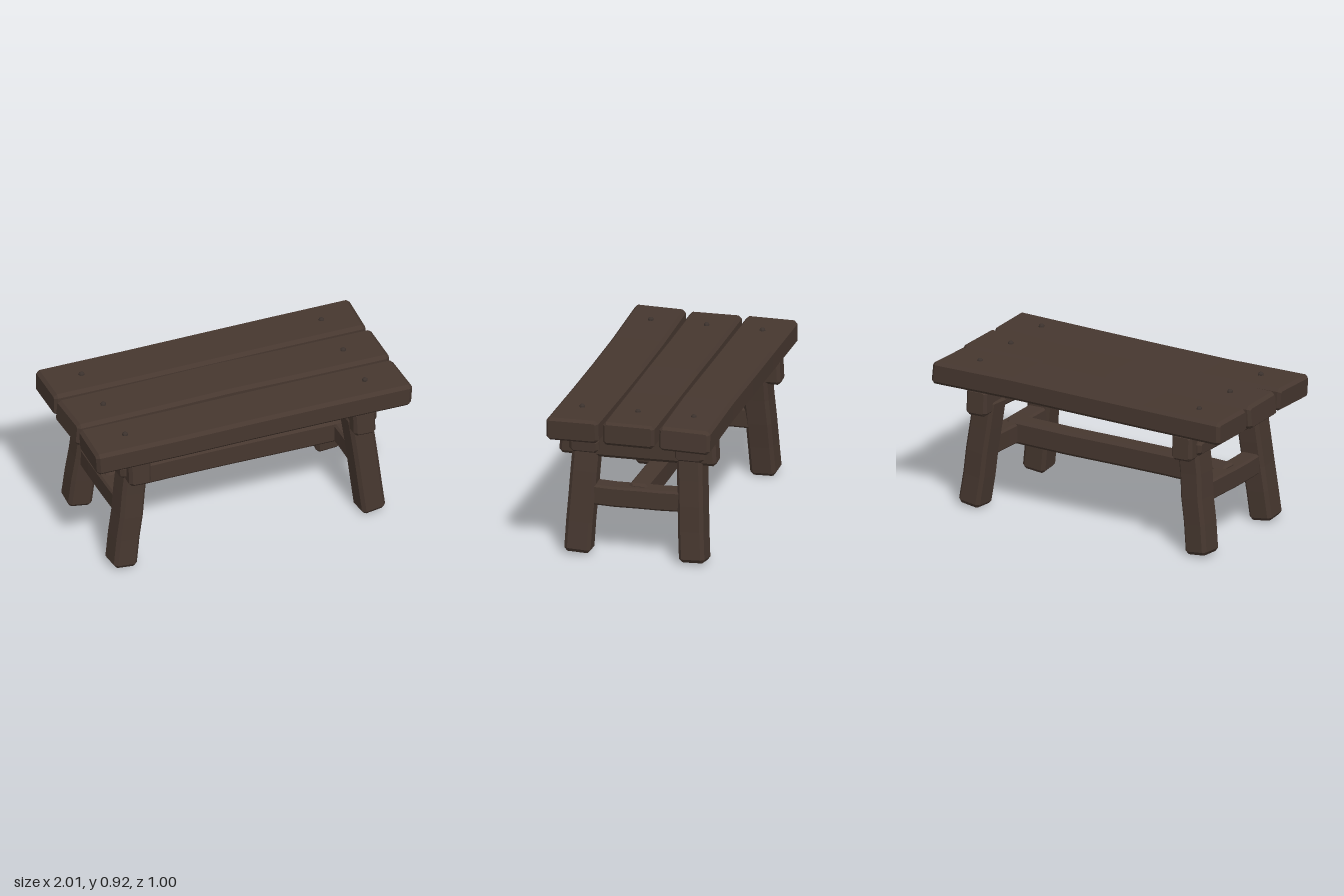
import * as THREE from 'three';

const wood = new THREE.MeshStandardMaterial({ color: 0x46372f, flatShading: true });
wood.name = 'dark wood';
const iron = new THREE.MeshStandardMaterial({ color: 0x3c322d, flatShading: true });
iron.name = 'dark iron';

// small seeded jitter for the hand-hewn look
function seeded(seed) {
  let s = seed * 7919 + 17;
  return () => ((s = (s * 16807) % 2147483647) / 2147483647) * 2 - 1;
}

// octagonal cross-section (y, z) with cut corners
function section(h, w, c) {
  return [[h, c - w], [h, w - c], [h - c, w], [c - h, w], [-h, w - c], [-h, c - w], [c - h, -w], [h - c, -w]];
}

// chamfered timber lofted along local x, bowed in y and z, end faces skewed a little
function timberGeometry(length, height, width, c, bow, skew, seed) {
  const rnd = seeded(seed), L = length / 2, h = height / 2, w = width / 2;
  const stations = [-L, -L + c, -L * 0.45, 0, L * 0.45, L - c, L];
  const last = stations.length - 1;
  const pos = [], index = [];
  stations.forEach((x, i) => {
    const end = i === 0 || i === last;
    const ring = end ? section(h - c * 0.8, w - c * 0.8, c * 0.4) : section(h, w, c);
    const t = 1 - (x / L) ** 2;
    const tilt = i <= 1 ? skew[0] : i >= last - 1 ? skew[1] : 0;
    const j = [rnd() * 0.003, rnd() * 0.003];
    ring.forEach(([y, z]) => pos.push(x + tilt * (z / w + y / h) / 2, y + bow[0] * t + j[0], z + bow[1] * t + j[1]));
  });
  for (let i = 0; i < last; i++) {
    for (let k = 0; k < 8; k++) {
      const a = i * 8 + k, b = i * 8 + (k + 1) % 8;
      index.push(a, b, b + 8, a, b + 8, a + 8);
    }
  }
  for (let k = 1; k < 7; k++) {
    index.push(0, k + 1, k);
    index.push(last * 8, last * 8 + k, last * 8 + k + 1);
  }
  const g = new THREE.BufferGeometry();
  g.setAttribute('position', new THREE.Float32BufferAttribute(pos, 3));
  g.setIndex(index);
  const flat = g.toNonIndexed();
  flat.computeVertexNormals();
  return flat;
}

let count = 0;
function timber(name, from, to, height, width, c, bow = [0, 0], skew = [0, 0]) {
  const a = new THREE.Vector3(...from), b = new THREE.Vector3(...to);
  const mesh = new THREE.Mesh(timberGeometry(a.distanceTo(b), height, width, c, bow, skew, ++count), wood);
  mesh.name = name;
  mesh.position.copy(a).add(b).multiplyScalar(0.5);
  mesh.quaternion.setFromUnitVectors(new THREE.Vector3(1, 0, 0), b.sub(a).normalize());
  return mesh;
}

export function createModel() {
  const model = new THREE.Group();
  model.name = 'plankTable';

  // three thick top planks
  const planks = [
    ['backPlank', -0.34, [0.003, 0.004], [0, -0.015]],
    ['middlePlank', 0, [0.003, -0.003], [0.012, 0]],
    ['frontPlank', 0.34, [-0.004, -0.008], [-0.01, 0.01]],
  ];
  for (const [name, z, bow, skew] of planks) {
    model.add(timber(name, [-0.993, 0.83, z], [0.993, 0.83, z], 0.143, 0.315, 0.02, bow, skew));
  }

  // bolts through the planks
  const boltGeometry = new THREE.SphereGeometry(0.018, 8, 6);
  for (const x of [-0.76, 0.76]) {
    for (const z of [-0.34, 0, 0.34]) {
      const bolt = new THREE.Mesh(boltGeometry, iron);
      bolt.name = 'bolt';
      bolt.position.set(x, 0.901, z);
      model.add(bolt);
    }
  }

  for (const s of [-1, 1]) {
    const side = s > 0 ? 'left' : 'right';
    // cross beam under the planks
    model.add(timber(side + 'CrossBeam', [s * 0.71, 0.688, -0.472], [s * 0.71, 0.688, 0.472],
      0.163, 0.135, 0.02, [-0.006, 0], [0.008, -0.008]));
    // low rail between the legs of one end
    model.add(timber(side + 'LowRail', [s * 0.74, 0.373, -0.31], [s * 0.74, 0.373, 0.31],
      0.125, 0.12, 0.012, [-0.008, 0]));
    for (const f of [-1, 1]) {
      const where = side + (f > 0 ? 'Front' : 'Back');
      // splayed leg and the block that locks it to the beam
      model.add(timber(where + 'Leg', [s * 0.788, 0.013, f * 0.352], [s * 0.708, 0.69, f * 0.318],
        0.15, 0.158, 0.02));
      model.add(timber(where + 'LegBlock', [s * 0.65, 0.68, f * 0.32], [s * 0.812, 0.674, f * 0.32],
        0.095, 0.18, 0.022));
    }
  }

  // long stretcher joining the two low rails
  model.add(timber('stretcher', [-0.76, 0.372, 0], [0.76, 0.372, 0], 0.148, 0.115, 0.018, [0.004, 0]));

  return model;
}
